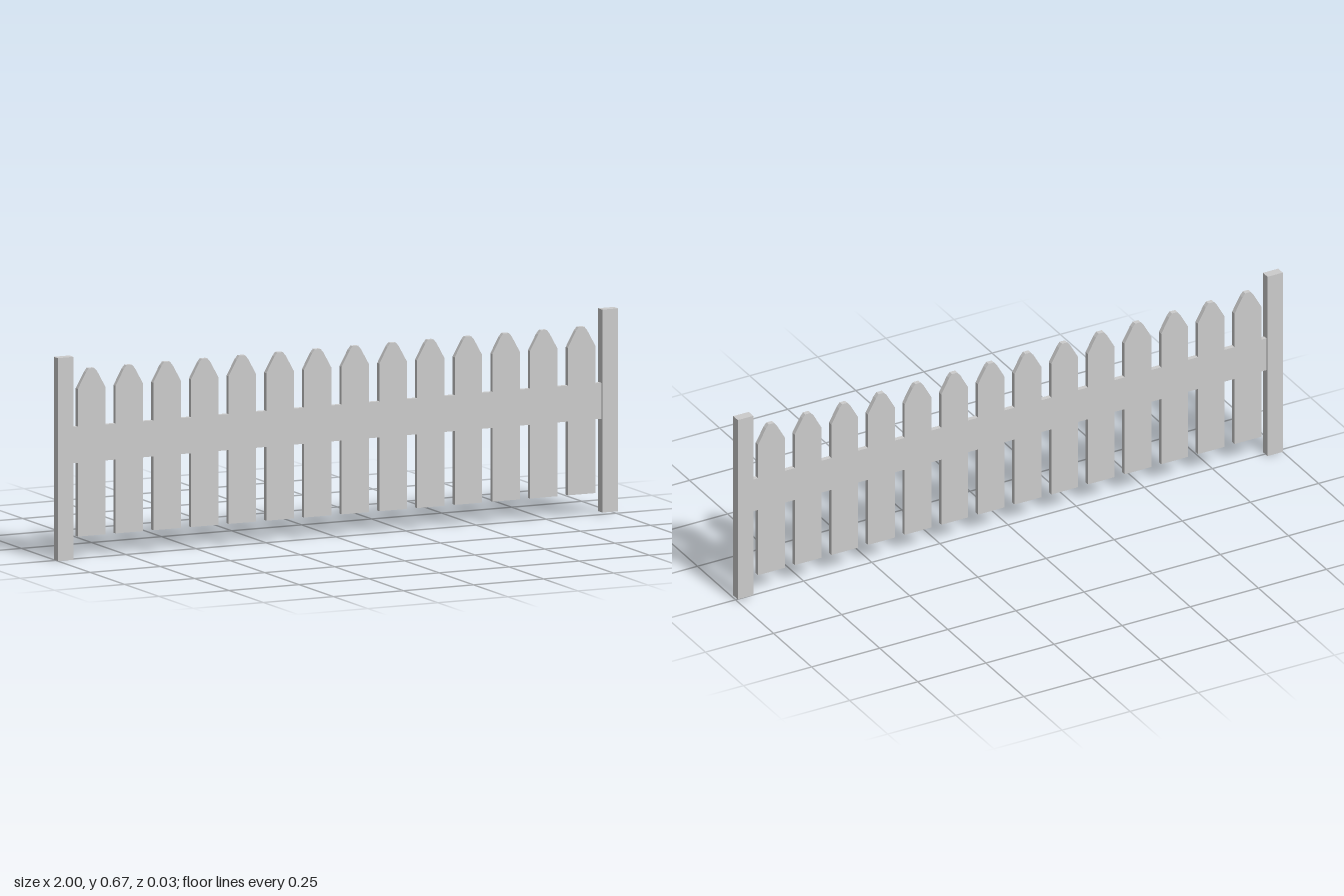
import * as THREE from 'three';

export function createModel() {
  const fence = new THREE.Group();
  fence.name = 'picketFence';
  const material = new THREE.MeshStandardMaterial({ color: 0xcccccc, flatShading: true });

  // End posts, the one at +x standing slightly higher
  const addPost = (name, x0, x1, y0) => {
    const post = new THREE.Mesh(new THREE.BoxGeometry(x1 - x0, 0.66, 0.03), material);
    post.name = name;
    post.position.set((x0 + x1) / 2, y0 + 0.33, 0);
    fence.add(post);
  };
  addPost('rightPost', -1, -0.944, 0);
  addPost('leftPost', 0.943, 1, 0.009);

  // Pickets and the wide rail are one flush board, so trace a single outline
  const count = 14, firstX = -0.876, step = 0.1345, half = 0.049;
  const bottom = 0.073, railLow = 0.313, railHigh = 0.43;
  const tip = [[-half, 0.553], [-0.02, 0.605], [-0.01, 0.617], [0.01, 0.617], [0.02, 0.605], [half, 0.553]];
  const outline = [[-0.946, railLow]];
  for (let i = 0; i < count; i++) {
    const x = firstX + i * step;
    outline.push([x - half, railLow], [x - half, bottom], [x + half, bottom], [x + half, railLow]);
  }
  outline.push([0.945, railLow], [0.945, railHigh]);
  for (let i = count - 1; i >= 0; i--) {
    const x = firstX + i * step;
    outline.push([x + half, railHigh]);
    for (const [dx, y] of [...tip].reverse()) outline.push([x + dx, y]);
    outline.push([x - half, railHigh]);
  }
  outline.push([-0.946, railHigh]);

  const shape = new THREE.Shape(outline.map(([x, y]) => new THREE.Vector2(x, y)));
  const depth = 0.016;
  const geometry = new THREE.ExtrudeGeometry(shape, { depth, bevelEnabled: false });
  geometry.translate(0, 0, -depth / 2);
  const panel = new THREE.Mesh(geometry, material);
  panel.name = 'picketsAndRail';
  fence.add(panel);

  return fence;
}
